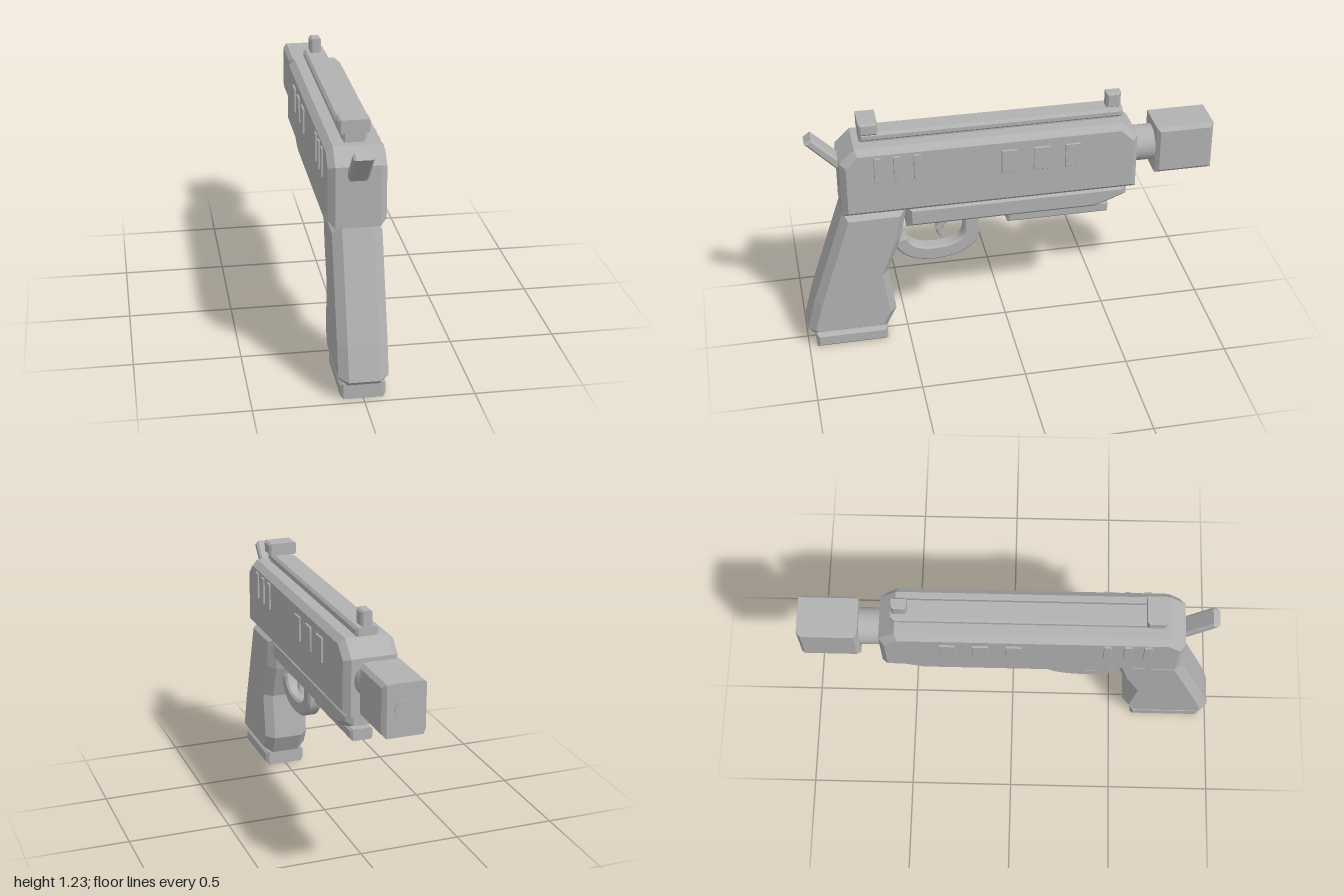
import * as THREE from 'three';
import { toCreasedNormals } from 'three/addons/utils/BufferGeometryUtils.js';

const grey = new THREE.MeshStandardMaterial({ color: 0xb2b2b2 });
grey.name = 'grey metal';

// Shape drawn from [z, y] points
function outline(points) {
  return new THREE.Shape(points.map(([z, y]) => new THREE.Vector2(-z, y)));
}

// Side profile extruded across x to +-halfWidth, with chamfered edges inside the outline
function slab(shape, halfWidth, bevel, bevelX = bevel, centreX = 0) {
  const geometry = new THREE.ExtrudeGeometry(shape, {
    depth: 2 * (halfWidth - bevelX),
    bevelEnabled: true,
    bevelSegments: 1,
    bevelSize: bevel,
    bevelThickness: bevelX,
    bevelOffset: -bevel,
    curveSegments: 8,
  });
  geometry.translate(0, 0, bevelX - halfWidth);
  geometry.rotateY(Math.PI / 2);
  geometry.translate(centreX, 0, 0);
  return geometry;
}

function block(z0, z1, y0, y1, halfWidth, bevel, centreX = 0) {
  const shape = outline([[z0, y0], [z1, y0], [z1, y1], [z0, y1]]);
  return slab(shape, halfWidth, bevel, bevel, centreX);
}

export function createModel() {
  const model = new THREE.Group();
  const add = (name, geometry) => {
    const mesh = new THREE.Mesh(geometry, grey);
    mesh.name = name;
    model.add(mesh);
    return mesh;
  };

  // Main body and the frame below it
  add('body', slab(outline([
    [0.797, 0.755], [0.797, 1.04], [0.725, 1.11],
    [-0.54, 1.11], [-0.617, 1.035], [-0.617, 0.755],
  ]), 0.131, 0.027, 0.03));
  add('lowerFrame', slab(outline([
    [0.495, 0.765], [0.495, 0.643], [-0.43, 0.643], [-0.58, 0.7], [-0.58, 0.765],
  ]), 0.104, 0.026, 0.03));
  add('underBar', block(0, -0.5, 0.588, 0.645, 0.055, 0.01));

  // Top rail and sights
  add('railBase', block(0.68, -0.54, 1.1, 1.125, 0.045, 0.004));
  add('topRail', block(0.695, -0.555, 1.115, 1.157, 0.055, 0.012));
  add('rearSight', block(0.697, 0.608, 1.155, 1.218, 0.072, 0.01));
  add('frontSight', block(-0.48, -0.55, 1.15, 1.23, 0.028, 0.01));

  // Hammer
  add('hammer', slab(outline([
    [0.945, 1.125], [0.912, 1.15], [0.77, 1.01], [0.8, 0.975],
  ]), 0.046, 0.01));

  // Barrel, muzzle block and bore disc
  const barrel = new THREE.CylinderGeometry(0.086, 0.086, 0.16, 32);
  barrel.rotateX(Math.PI / 2);
  add('barrel', barrel).position.set(0, 0.932, -0.66);
  add('muzzleBlock', block(-0.715, -0.995, 0.808, 1.055, 0.104, 0.018));
  const bore = new THREE.CylinderGeometry(0.05, 0.05, 0.02, 32);
  bore.rotateX(Math.PI / 2);
  add('boreDisc', bore).position.set(0, 0.932, -0.99);

  // Raised side ribs, mirrored
  for (const side of [-1, 1]) {
    for (const z of [0.623, 0.532, 0.438]) {
      add('rearRib', block(z + 0.018, z - 0.018, 0.94, 1.072, 0.01, 0.002, side * 0.13));
    }
    for (const z of [0.006, -0.147, -0.298]) {
      add('sidePlate', block(z + 0.037, z - 0.037, 0.925, 1.045, 0.01, 0.002, side * 0.13));
    }
  }

  // Grip and its base plate
  add('grip', slab(outline([
    [0.795, 0.757], [0.957, 0.265], [1.0, 0.1], [0.965, 0.07], [0.61, 0.07],
    [0.56, 0.17], [0.59, 0.4], [0.525, 0.575], [0.49, 0.757],
  ]), 0.113, 0.033, 0.042));
  add('gripBase', block(0.962, 0.61, 0, 0.075, 0.103, 0.014));

  // Trigger guard: curved hook
  const guard = new THREE.Shape();
  guard.moveTo(-0.135, 0.66);
  guard.lineTo(-0.135, 0.54);
  guard.bezierCurveTo(-0.135, 0.45, -0.24, 0.402, -0.36, 0.402);
  guard.bezierCurveTo(-0.45, 0.402, -0.52, 0.44, -0.548, 0.5);
  guard.lineTo(-0.548, 0.535);
  guard.lineTo(-0.485, 0.552);
  guard.bezierCurveTo(-0.475, 0.5, -0.43, 0.478, -0.36, 0.478);
  guard.bezierCurveTo(-0.26, 0.478, -0.21, 0.505, -0.21, 0.56);
  guard.lineTo(-0.21, 0.66);
  guard.closePath();
  add('triggerGuard', toCreasedNormals(slab(guard, 0.035, 0.01), 0.5));

  // Trigger
  add('trigger', slab(outline([
    [0.343, 0.66], [0.275, 0.66], [0.285, 0.615], [0.315, 0.565],
    [0.305, 0.513], [0.338, 0.537], [0.348, 0.575], [0.318, 0.615],
  ]), 0.022, 0.006));

  return model;
}
